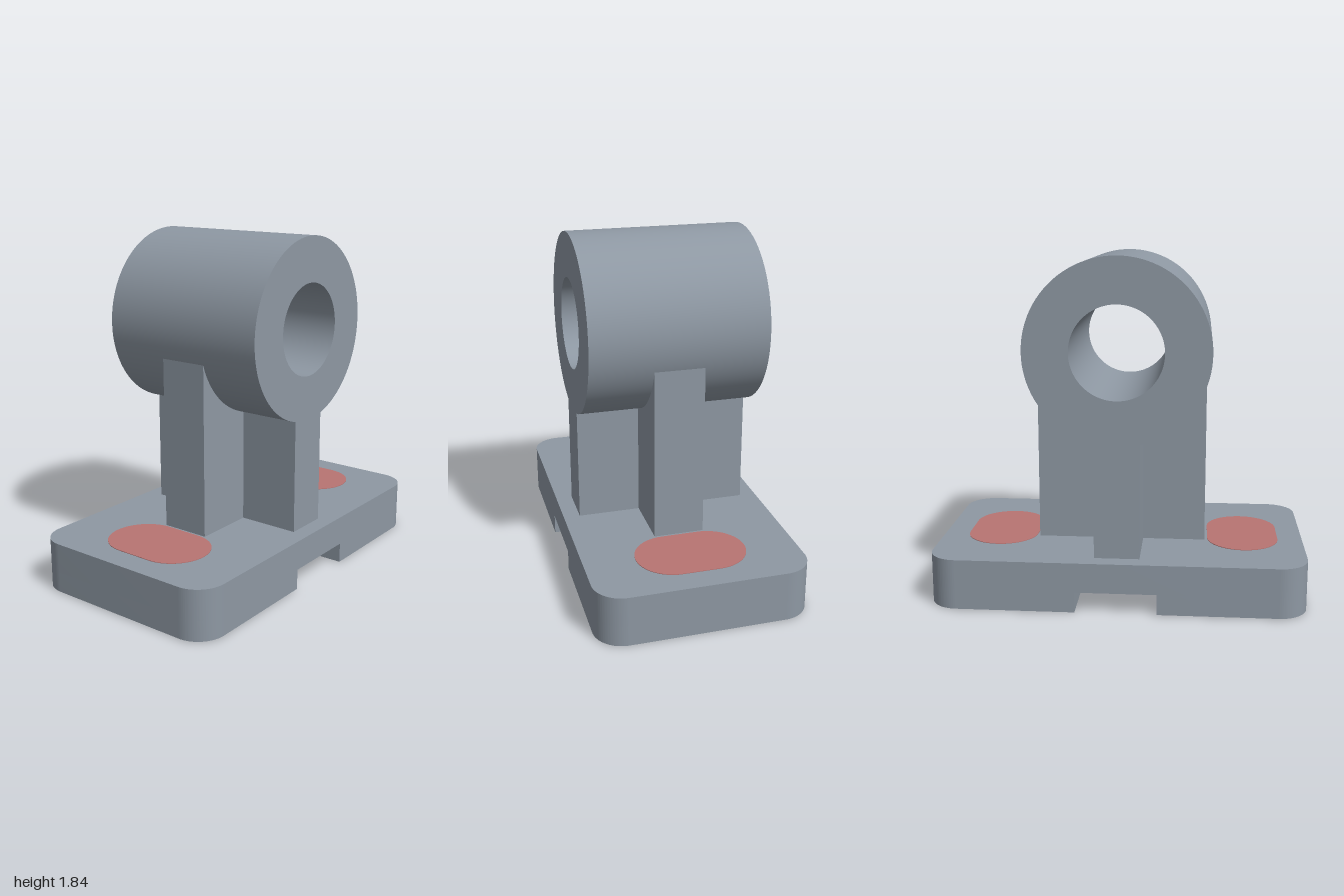
import * as THREE from 'three';
import { toCreasedNormals } from 'three/addons/utils/BufferGeometryUtils.js';

const steel = new THREE.MeshStandardMaterial({ color: 0x8e98a3 });
steel.name = 'steel grey';
const red = new THREE.MeshStandardMaterial({ color: 0xb87472 });
red.name = 'marking red';

const BASE_H = 0.27, NOTCH_H = 0.11, NOTCH_X = 0.215, BASE_Z = 0.565, CORNER = 0.155;
const HUB_Y = 1.355, HUB_R = 0.485, BORE_R = 0.245, HUB_Z = 0.475;

function extrude(shape, depth) {
  const geo = new THREE.ExtrudeGeometry(shape, { depth, bevelEnabled: false, curveSegments: 48 });
  return toCreasedNormals(geo, 0.5);
}

// Extrusion centred along z
function alongZ(shape, depth) {
  return extrude(shape, depth).translate(0, 0, -depth / 2);
}

// Extrusion standing upright from y0
function upright(shape, y0, height) {
  return extrude(shape, height).rotateX(-Math.PI / 2).translate(0, y0, 0);
}

// Plan outline from x0 to x = 1; corners at x0 use radius r0
function plateShape(x0, r0) {
  const s = new THREE.Shape();
  const z = BASE_Z, r = CORNER, q = Math.PI / 2;
  s.moveTo(x0 + r0, -z);
  s.lineTo(1 - r, -z);
  s.absarc(1 - r, -z + r, r, -q, 0);
  s.lineTo(1, z - r);
  s.absarc(1 - r, z - r, r, 0, q);
  s.lineTo(x0 + r0, z);
  if (r0 > 0) {
    s.absarc(x0 + r0, z - r0, r0, q, 2 * q);
    s.lineTo(x0, -z + r0);
    s.absarc(x0 + r0, -z + r0, r0, 2 * q, 3 * q);
  }
  s.closePath();
  return s;
}

// Upright web whose top follows the underside of the hub
function webShape(halfWidth) {
  const r = HUB_R - 0.003;
  const a = Math.acos(halfWidth / r);
  const s = new THREE.Shape();
  s.moveTo(-halfWidth, BASE_H);
  s.lineTo(halfWidth, BASE_H);
  s.lineTo(halfWidth, HUB_Y - r * Math.sin(a));
  s.absarc(0, HUB_Y, r, -a, -Math.PI + a, true);
  s.closePath();
  return s;
}

// Round-ended slot outline, long in z
function slotShape(radius, halfStraight) {
  const s = new THREE.Shape();
  s.absarc(0, halfStraight, radius, 0, Math.PI);
  s.absarc(0, -halfStraight, radius, Math.PI, 2 * Math.PI);
  s.closePath();
  return s;
}

export function createModel() {
  const model = new THREE.Group();
  model.name = 'bearingBracket';
  const add = (name, geo, mat = steel) => {
    const mesh = new THREE.Mesh(geo, mat);
    mesh.name = name;
    model.add(mesh);
    return mesh;
  };

  // Base plate with a notch running front to back underneath
  add('basePlate', upright(plateShape(-1, CORNER), NOTCH_H, BASE_H - NOTCH_H));
  const foot = upright(plateShape(NOTCH_X, 0), 0, NOTCH_H);
  add('leftFoot', foot);
  add('rightFoot', foot).rotation.y = Math.PI;

  // Bored hub
  const ring = new THREE.Shape();
  ring.absarc(0, HUB_Y, HUB_R, 0, Math.PI * 2);
  const bore = new THREE.Path();
  bore.absarc(0, HUB_Y, BORE_R, 0, Math.PI * 2, true);
  ring.holes.push(bore);
  add('hub', alongZ(ring, HUB_Z * 2));

  // Crossed webs carrying the hub
  add('lengthwiseWeb', alongZ(webShape(0.12), HUB_Z * 2));
  add('crossWeb', alongZ(webShape(0.46), 0.27));

  // Slot markings: wide on top, narrow underneath
  for (const [side, x] of [['left', 0.67], ['right', -0.67]]) {
    const top = add(side + 'TopSlot', upright(slotShape(0.195, 0.1), 0, 0.004), red);
    top.position.set(x, BASE_H - 0.001, 0);
    const under = add(side + 'UnderSlot', upright(slotShape(0.107, 0.1), 0, 0.004), red);
    under.position.set(x, -0.003, 0);
  }
  return model;
}
